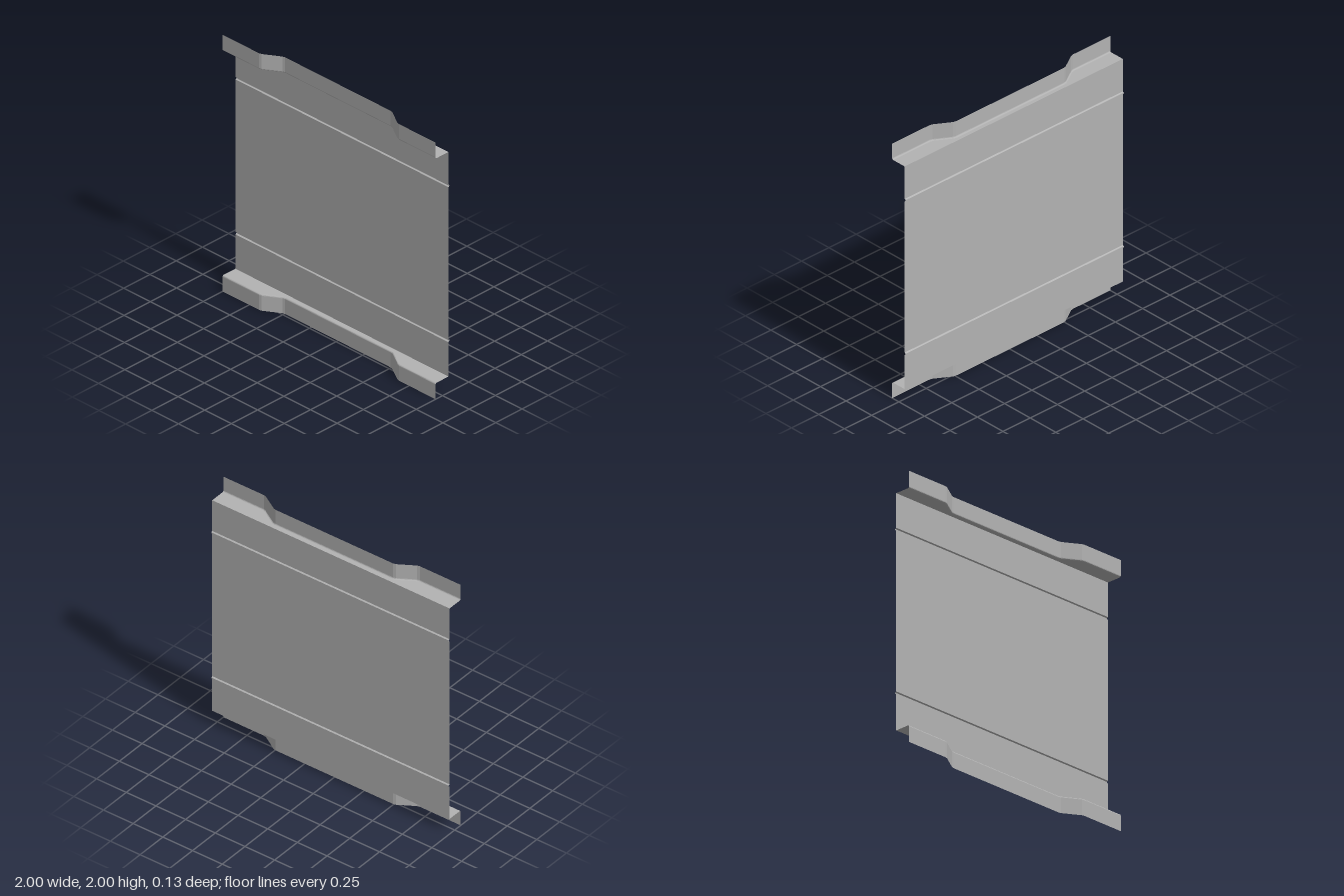
import * as THREE from 'three';

const WEB_Z = -0.056;   // plane of the main panel
const RIB_Z = -0.066;   // back of the pressed grooves
const OUT_Z = 0.066;    // flange at the ends
const IN_Z = -0.018;    // flange along the middle
const BEND = 0.01;

// Thin sheet spanned between rows of points; every facet stays flat
function sheet(rows, material, name) {
  const pos = [];
  for (let i = 0; i < rows.length - 1; i++) {
    for (let j = 0; j < rows[i].length - 1; j++) {
      const a = rows[i][j], b = rows[i][j + 1], c = rows[i + 1][j + 1], d = rows[i + 1][j];
      pos.push(...a, ...b, ...c, ...a, ...c, ...d);
    }
  }
  const geo = new THREE.BufferGeometry();
  geo.setAttribute('position', new THREE.Float32BufferAttribute(pos, 3));
  geo.computeVertexNormals();
  const mesh = new THREE.Mesh(geo, material);
  mesh.name = name;
  return mesh;
}

// Plan outline of the flange: set forward at both ends, with softened corners
function flangePath() {
  const half = [[0.495, IN_Z], [0.515, IN_Z + 0.005], [0.637, OUT_Z - 0.005], [0.657, OUT_Z], [1, OUT_Z]];
  return [...half.map(([x, z]) => [-x, z]).reverse(), ...half];
}

export function createModel() {
  const group = new THREE.Group();
  const steel = new THREE.MeshStandardMaterial({ color: 0xb2b2b2, side: THREE.DoubleSide });
  steel.name = 'grey sheet steel';

  // Main panel with two shallow grooves pressed backwards
  const grooves = [0.403, 1.61];
  const profile = [[0.125, WEB_Z]];
  for (const y of grooves) {
    profile.push([y - 0.01, WEB_Z], [y - 0.004, RIB_Z], [y + 0.004, RIB_Z], [y + 0.01, WEB_Z]);
  }
  profile.push([1.875, WEB_Z]);
  group.add(sheet(profile.map(([y, z]) => [[-1, y, z], [1, y, z]]), steel, 'mainPanel'));

  // Shelf, rounded bend and upright lip, mirrored for top and bottom
  const path = flangePath();
  for (const [side, name] of [[-1, 'bottomFlange'], [1, 'topFlange']]) {
    const row = (h, zOf) => path.map(([x, z]) => [x, 1 + side * h, zOf(z)]);
    const rows = [row(0.875, () => WEB_Z)];
    for (let i = 0; i <= 3; i++) {
      const t = (i / 3) * Math.PI / 2;
      rows.push(row(0.875 + BEND * (1 - Math.cos(t)), z => z - BEND * (1 - Math.sin(t))));
    }
    rows.push(row(1, z => z));
    if (side > 0) rows.reverse();
    group.add(sheet(rows, steel, name));
  }
  return group;
}
